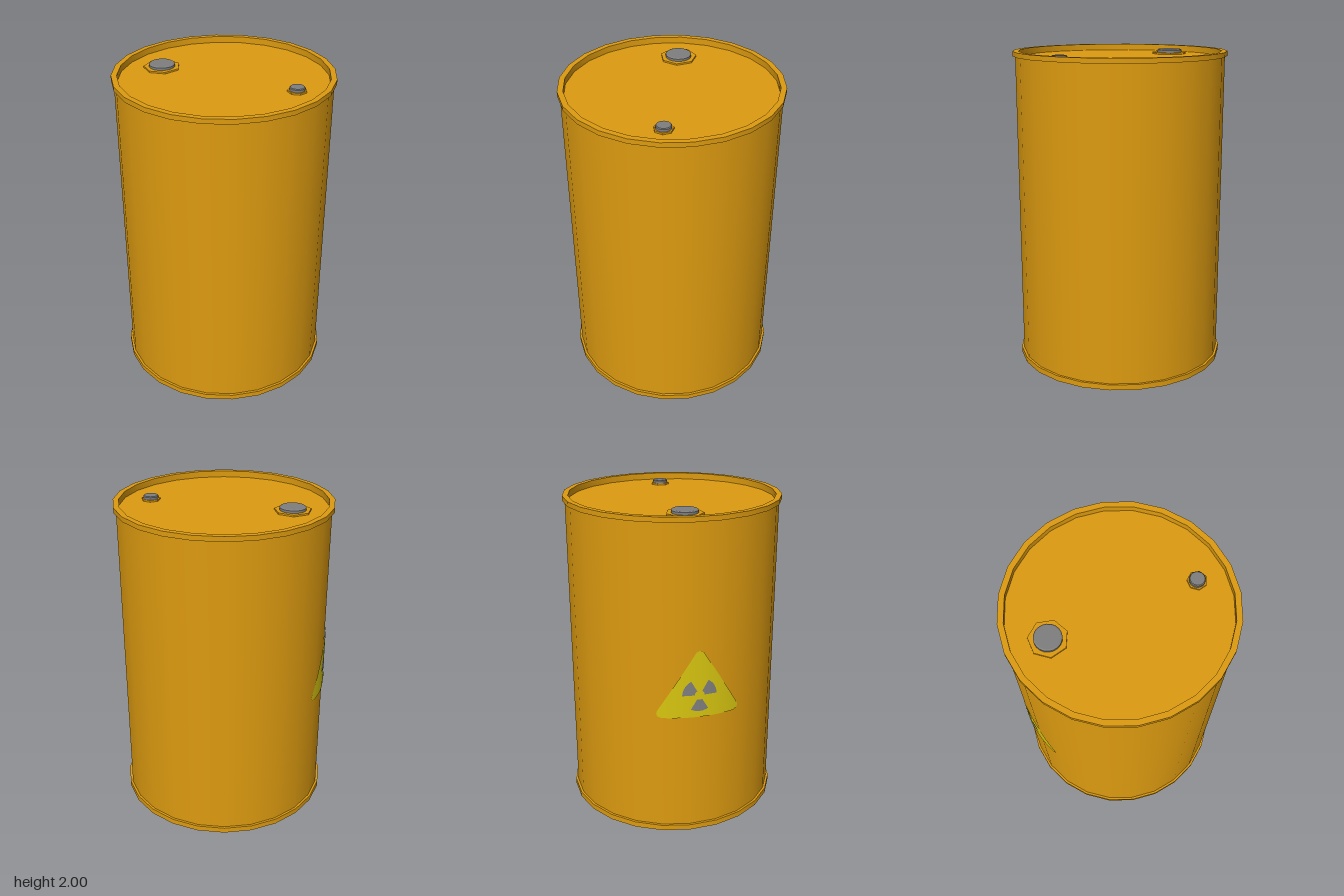
import * as THREE from 'three';
import { toCreasedNormals } from 'three/addons/utils/BufferGeometryUtils.js';
import { ParametricGeometry } from 'three/addons/geometries/ParametricGeometry.js';

const SIDES = 24;
const BODY_R = 0.655, RIM_R = 0.67, INNER_R = 0.635, LID_Y = 1.96;

function material(name, color) {
  const m = new THREE.MeshStandardMaterial({ color });
  m.name = name;
  return m;
}

export function createModel() {
  const group = new THREE.Group();
  const orange = material('orangePaint', 0xdd9b10);
  const grey = material('greyMetal', 0x7f7f80);
  const yellow = material('labelYellow', 0xd8c610);

  const add = (name, geometry, mat, x = 0, y = 0) => {
    const mesh = new THREE.Mesh(geometry, mat);
    mesh.name = name;
    mesh.position.set(x, y, 0);
    group.add(mesh);
    return mesh;
  };
  const ring = (points) => toCreasedNormals(
    new THREE.LatheGeometry(points.map(([r, y]) => new THREE.Vector2(r, y)), SIDES), Math.PI / 6);

  // Drum wall, rims, recessed lid and base
  add('body', new THREE.CylinderGeometry(BODY_R, BODY_R, 1.96, SIDES, 1, true), orange, 0, 1);
  add('bottomRim', ring([[RIM_R, 0], [RIM_R, 0.035], [BODY_R - 0.01, 0.035]]), orange);
  add('topRim', ring([[BODY_R - 0.01, 1.97], [RIM_R, 1.97], [RIM_R, 2], [INNER_R, 2], [INNER_R, LID_Y]]), orange);
  add('lid', new THREE.CircleGeometry(INNER_R, SIDES).rotateX(-Math.PI / 2), orange, 0, LID_Y);
  add('base', new THREE.CircleGeometry(RIM_R, SIDES).rotateX(Math.PI / 2), orange);

  // Screw plugs, each on a seven-sided flange
  for (const [name, x, flangeR, r] of [['largePlug', -0.422, 0.113, 0.08], ['smallPlug', 0.466, 0.058, 0.046]]) {
    const flange = new THREE.CylinderGeometry(flangeR, flangeR, 0.01, 7).rotateY(Math.PI / 2);
    add(name + 'Flange', toCreasedNormals(flange, 0.5), orange, x, LID_Y + 0.005);
    const cap = new THREE.LatheGeometry(
      [[r, 0], [r, 0.025], [r * 0.9, 0.03], [0.001, 0.03]].map(([a, b]) => new THREE.Vector2(a, b)), 20);
    add(name, toCreasedNormals(cap, 0.5), grey, x, LID_Y);
  }

  // Wraps a flat point (s sideways, y up) round the right side of the drum
  const CENTRE = THREE.MathUtils.degToRad(4.5);
  const wrap = (s, y, offset, target) => {
    const a = CENTRE + s / BODY_R, r = BODY_R + offset;
    target.set(-r * Math.cos(a), y, r * Math.sin(a));
  };

  // Warning label: triangle with rounded corners
  const r = 0.03, half = 0.228, low = 0.815, high = 1.18;
  const len = Math.hypot(half, high - low);
  const nx = (high - low) / len, ny = half / len;
  const halfWidth = (y) => {
    if (y < low + r * ny) return half + Math.sqrt(Math.max(0, r * r - (y - low) ** 2));
    if (y > high + r * ny) return Math.sqrt(Math.max(1e-5, r * r - (y - high) ** 2));
    return (r - (y - high) * ny) / nx;
  };
  add('warningLabel', new ParametricGeometry((u, v, target) => {
    const y = low - r + v * (high - low + 2 * r);
    wrap((u * 2 - 1) * halfWidth(y), y, 0.002, target);
  }, 24, 48), yellow);

  // Three blades on the label
  for (let i = 0; i < 3; i++) {
    const start = i * Math.PI * 2 / 3;
    add('labelBlade', new ParametricGeometry((u, v, target) => {
      const a = start + v * Math.PI / 3, d = 0.03 + u * 0.075;
      wrap(d * Math.cos(a), 0.93 + d * Math.sin(a), 0.005, target);
    }, 4, 10), grey);
  }
  return group;
}
